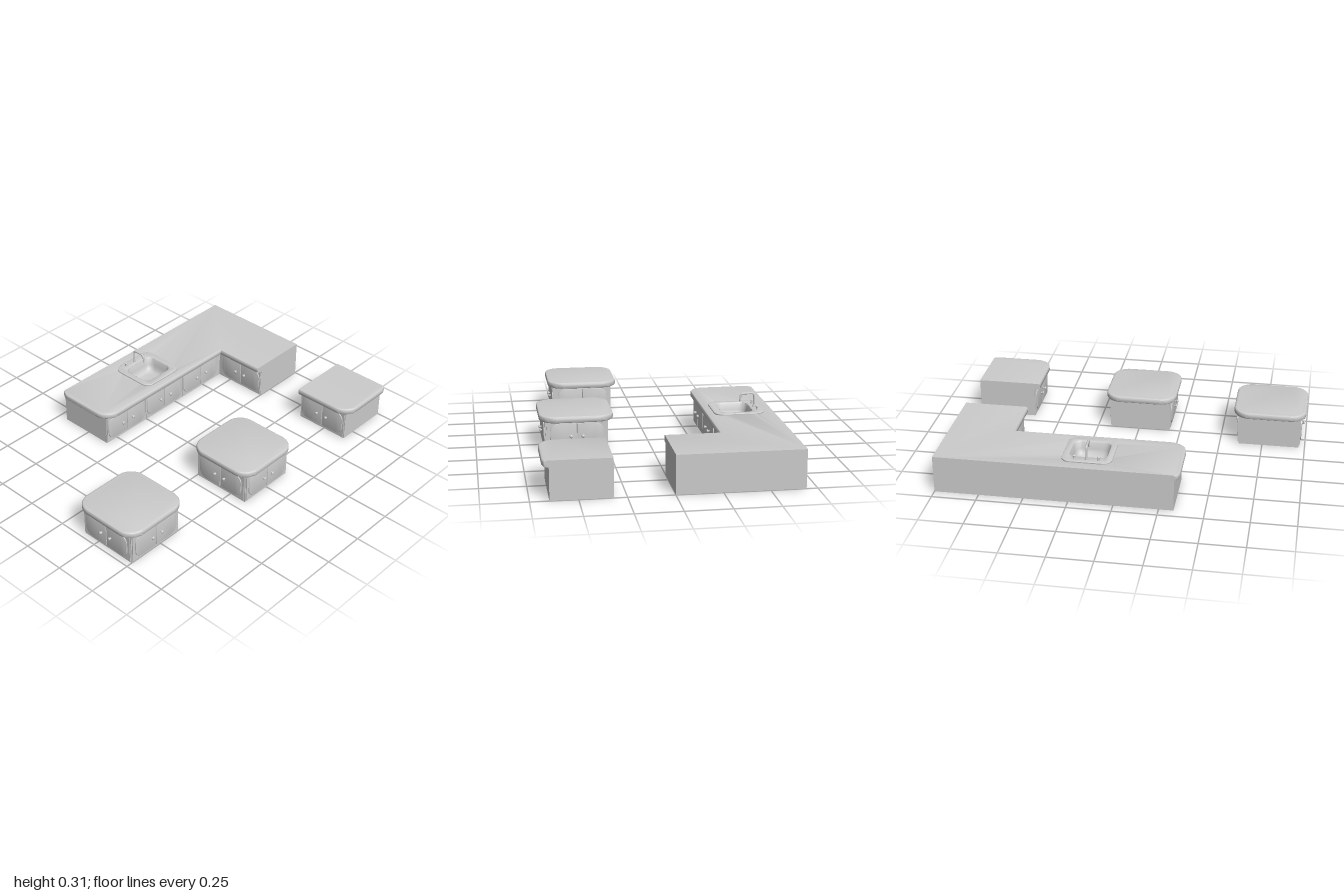
import * as THREE from 'three';
import { toCreasedNormals } from 'three/addons/utils/BufferGeometryUtils.js';

const grey = new THREE.MeshStandardMaterial({ color: 0xcccccc });
const greyDouble = new THREE.MeshStandardMaterial({ color: 0xcccccc, side: THREE.DoubleSide });

function add(parent, geometry, name, material = grey) {
  const mesh = new THREE.Mesh(geometry, material);
  mesh.name = name;
  parent.add(mesh);
  return mesh;
}

// Closed outline from corners [x, y, radius]
function outline(corners, path = new THREE.Shape()) {
  const n = corners.length;
  const toward = (a, b, d) => {
    const len = Math.hypot(b[0] - a[0], b[1] - a[1]);
    return [a[0] + (b[0] - a[0]) * d / len, a[1] + (b[1] - a[1]) * d / len];
  };
  corners.forEach((c, i) => {
    const prev = corners[(i + n - 1) % n], next = corners[(i + 1) % n], r = c[2] || 0;
    const start = toward(c, prev, r), end = toward(c, next, r);
    if (i === 0) path.moveTo(...start); else path.lineTo(...start);
    if (r) path.bezierCurveTo(...toward(c, prev, r * 0.45), ...toward(c, next, r * 0.45), ...end);
  });
  path.closePath();
  return path;
}

const rect = (x0, z0, x1, z1, r = 0) => [[x0, z0, r], [x1, z0, r], [x1, z1, r], [x0, z1, r]];

// Horizontal slab from an (x, z) outline between two heights
function slab(corners, y0, y1, bevel = 0, hole = null) {
  const shape = outline(corners);
  if (hole) shape.holes.push(outline(hole, new THREE.Path()));
  const thick = bevel * 0.8;
  const g = new THREE.ExtrudeGeometry(shape, {
    depth: y1 - y0 - 2 * thick, curveSegments: 10, bevelEnabled: bevel > 0,
    bevelSize: bevel, bevelThickness: thick, bevelOffset: -bevel, bevelSegments: 4,
  });
  g.rotateX(Math.PI / 2);
  g.translate(0, y1 - thick, 0);
  return toCreasedNormals(g, 0.7);
}

// Cut a worktop flat where it meets a wall
function trim(geometry, minX, maxX, minZ) {
  const p = geometry.attributes.position;
  for (let i = 0; i < p.count; i++) {
    p.setX(i, THREE.MathUtils.clamp(p.getX(i), minX, maxX));
    p.setZ(i, Math.max(p.getZ(i), minZ));
  }
  return toCreasedNormals(geometry, 0.7);
}

// Pair of doors with knobs, facing +z before it is turned
function doorPair(parent, x, z, turn, width, panel, knobX = 0.034) {
  const group = new THREE.Group();
  group.name = 'doorPair';
  add(group, new THREE.BoxGeometry(width, 0.166, 0.008), 'doorFrame').position.set(0, 0.093, 0.002);
  for (const side of [-1, 1]) {
    const a = side * 0.001, b = side * panel / 2;
    const shape = outline([[a, 0.022, 0], [b, 0.022, 0.048], [b, 0.17, 0.048], [a, 0.17, 0]]);
    const g = new THREE.ExtrudeGeometry(shape, {
      depth: 0.003, curveSegments: 8, bevelSize: 0.004, bevelThickness: 0.003, bevelOffset: -0.004, bevelSegments: 2,
    });
    add(group, toCreasedNormals(g, 0.6), 'door').position.z = 0.005;
    const stem = add(group, new THREE.CylinderGeometry(0.004, 0.006, 0.014, 12), 'knobStem');
    stem.rotation.x = Math.PI / 2;
    stem.position.set(side * knobX, 0.096, 0.015);
    const knob = add(group, new THREE.SphereGeometry(0.01, 16, 10), 'knob');
    knob.scale.z = 0.6;
    knob.position.set(side * knobX, 0.096, 0.022);
  }
  group.position.set(x, 0, z);
  group.rotation.y = turn;
  parent.add(group);
}

// Free-standing island: doors on front, right and back, plain left side
function island(parent, x, z) {
  const group = new THREE.Group();
  group.name = 'island';
  const h = 0.177;
  add(group, slab(rect(-h, -h, h, h), 0, 0.18), 'islandCarcass');
  add(group, slab(rect(-0.212, -0.211, 0.212, 0.211, 0.095), 0.178, 0.215, 0.012), 'islandWorktop');
  for (const turn of [0, 1, 2]) {
    const a = turn * Math.PI / 2;
    doorPair(group, h * Math.sin(a), h * Math.cos(a), a, 0.342, 0.308);
  }
  group.position.set(x, 0, z);
  parent.add(group);
}

// Basin lofted from shrinking rounded rectangles
function basinGeometry(halfX, halfZ) {
  const rings = [[0, 0.222], [0.004, 0.215], [0.01, 0.18], [0.016, 0.155], [0.026, 0.143], [0.042, 0.139], [null, 0.137]];
  const position = [], index = [];
  let n = 0;
  rings.forEach(([inset, y], k) => {
    const centre = inset === null, d = inset || 0;
    const pts = outline(rect(d - halfX, d - halfZ, halfX - d, halfZ - d, 0.04)).getPoints(8);
    n = pts.length;
    pts.forEach((p, i) => {
      position.push(centre ? 0 : p.x, y, centre ? 0 : p.y);
      if (k === 0) return;
      const j = (i + 1) % n, a = (k - 1) * n, b = k * n;
      index.push(a + i, a + j, b + i, a + j, b + j, b + i);
    });
  });
  const g = new THREE.BufferGeometry();
  g.setAttribute('position', new THREE.Float32BufferAttribute(position, 3));
  g.setIndex(index);
  return toCreasedNormals(g, 0.9);
}

function sink(parent) {
  const group = new THREE.Group();
  group.name = 'sink';
  const cx = -0.479, cz = -0.159;
  add(group, slab(rect(-0.63, -0.30, -0.345, -0.02, 0.05), 0.212, 0.223, 0.004,
    rect(-0.571, -0.265, -0.386, -0.053, 0.04)), 'sinkRim');
  add(group, basinGeometry(0.094, 0.107), 'basin', greyDouble).position.set(cx, 0, cz);
  add(group, new THREE.CylinderGeometry(0.014, 0.014, 0.004, 20), 'drain').position.set(cx, 0.139, cz);

  // Tap: upright, bend, spout, bend, outlet
  const v = (x, y) => new THREE.Vector3(x, y, cz);
  const path = new THREE.CurvePath();
  path.add(new THREE.LineCurve3(v(-0.597, 0.22), v(-0.597, 0.282)));
  path.add(new THREE.QuadraticBezierCurve3(v(-0.597, 0.282), v(-0.597, 0.302), v(-0.58, 0.302)));
  path.add(new THREE.LineCurve3(v(-0.58, 0.302), v(-0.535, 0.302)));
  path.add(new THREE.QuadraticBezierCurve3(v(-0.535, 0.302), v(-0.518, 0.302), v(-0.516, 0.282)));
  path.add(new THREE.LineCurve3(v(-0.516, 0.282), v(-0.515, 0.257)));
  add(group, new THREE.TubeGeometry(path, 60, 0.0055, 12), 'tap', greyDouble);
  add(group, new THREE.CylinderGeometry(0.008, 0.01, 0.012, 16), 'tapBase').position.set(-0.597, 0.228, cz);
  for (const side of [-1, 1]) {
    const z = cz + side * 0.068;
    add(group, new THREE.CylinderGeometry(0.005, 0.007, 0.02, 16), 'tapHandleStem').position.set(-0.6, 0.231, z);
    const cap = add(group, new THREE.SphereGeometry(0.009, 16, 10), 'tapHandle');
    cap.scale.y = 0.6;
    cap.position.set(-0.6, 0.241, z);
  }
  parent.add(group);
}

export function createModel() {
  const model = new THREE.Group();
  model.name = 'kitchenUnits';

  // L-shaped counter, opened for the sink
  const counter = new THREE.Group();
  counter.name = 'cornerCounter';
  model.add(counter);
  const hole = rect(-0.583, -0.277, -0.374, -0.041, 0.045);
  const base = [[-0.69, -1], [0, -1], [0, -0.66], [-0.341, -0.66], [-0.341, 0.332], [-0.69, 0.332]];
  add(counter, slab(base, 0, 0.13), 'counterCarcass');
  add(counter, slab(base, 0.13, 0.18, 0, hole), 'counterCarcassTop');
  const top = [[-0.73, -1.05], [0.05, -1.05], [0.05, -0.625], [-0.303, -0.625], [-0.303, 0.36, 0.095], [-0.73, 0.36, 0.095]];
  add(counter, trim(slab(top, 0.178, 0.215, 0.012, hole), -0.69, 0, -1), 'counterWorktop');
  for (const z of [0.17, -0.15, -0.47]) doorPair(counter, -0.341, z, Math.PI / 2, 0.316, 0.302, 0.042);
  doorPair(counter, -0.158, -0.66, 0, 0.312, 0.3);
  sink(counter);

  // Wall unit with one pair of doors
  const unit = new THREE.Group();
  unit.name = 'wallUnit';
  model.add(unit);
  add(unit, slab(rect(0.32, -1, 0.649, -0.66), 0, 0.18), 'unitCarcass');
  const unitTop = [[0.25, -1.05, 0], [0.685, -1.05, 0.095], [0.685, -0.625, 0.095], [0.25, -0.625, 0]];
  add(unit, trim(slab(unitTop, 0.178, 0.215, 0.012), 0.32, 0.685, -1), 'unitWorktop');
  doorPair(unit, 0.485, -0.66, 0, 0.318, 0.3);

  island(model, 0.43, 0.007);
  island(model, 0.323, 0.788);
  return model;
}
